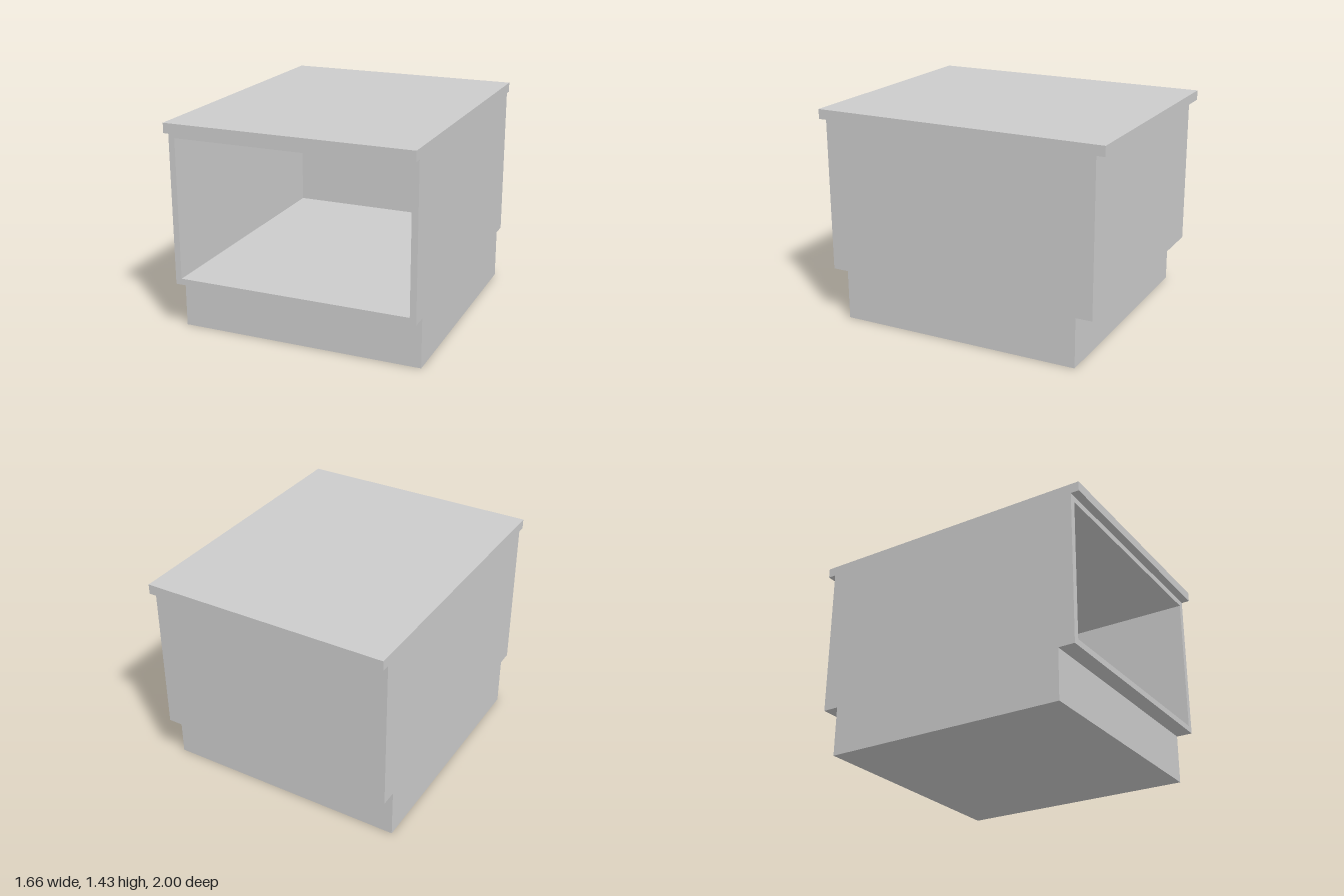
import * as THREE from 'three';

const HALF_W = 0.83;
const WALL = 0.042;
const BASE_TOP = 0.336, BODY_TOP = 1.364, TOP = 1.43;
const BASE_Z = 0.834, BODY_Z = 0.944, TOP_Z = 1;

export function createModel() {
  const group = new THREE.Group();
  const material = new THREE.MeshStandardMaterial({ color: 0xcccccc });

  const add = (name, geometry, y = 0, z = 0) => {
    const mesh = new THREE.Mesh(geometry, material);
    mesh.name = name;
    mesh.position.set(0, y, z);
    group.add(mesh);
  };
  const slab = (name, y0, y1, z0, z1) =>
    add(name, new THREE.BoxGeometry(2 * HALF_W, y1 - y0, z1 - z0), (y0 + y1) / 2, (z0 + z1) / 2);

  // Recessed plinth and overhanging top
  slab('plinth', 0, BASE_TOP, -BASE_Z, BASE_Z);
  slab('topPanel', BODY_TOP, TOP, -TOP_Z, TOP_Z);

  // Closed back of the cabinet
  slab('backPanel', BASE_TOP, BODY_TOP, -BODY_Z, -BODY_Z + WALL);

  // Cabinet walls: a rectangular frame extruded from the back panel to the open front
  const rect = (Type, inset) => {
    const x = HALF_W - inset, y0 = BASE_TOP + inset, y1 = BODY_TOP - inset;
    const path = new Type();
    path.moveTo(-x, y0);
    path.lineTo(x, y0);
    path.lineTo(x, y1);
    path.lineTo(-x, y1);
    path.closePath();
    return path;
  };
  const frame = rect(THREE.Shape, 0);
  frame.holes.push(rect(THREE.Path, WALL));
  const walls = new THREE.ExtrudeGeometry(frame, { depth: 2 * BODY_Z - WALL, bevelEnabled: false });
  add('cabinetWalls', walls, 0, -BODY_Z + WALL);

  return group;
}
